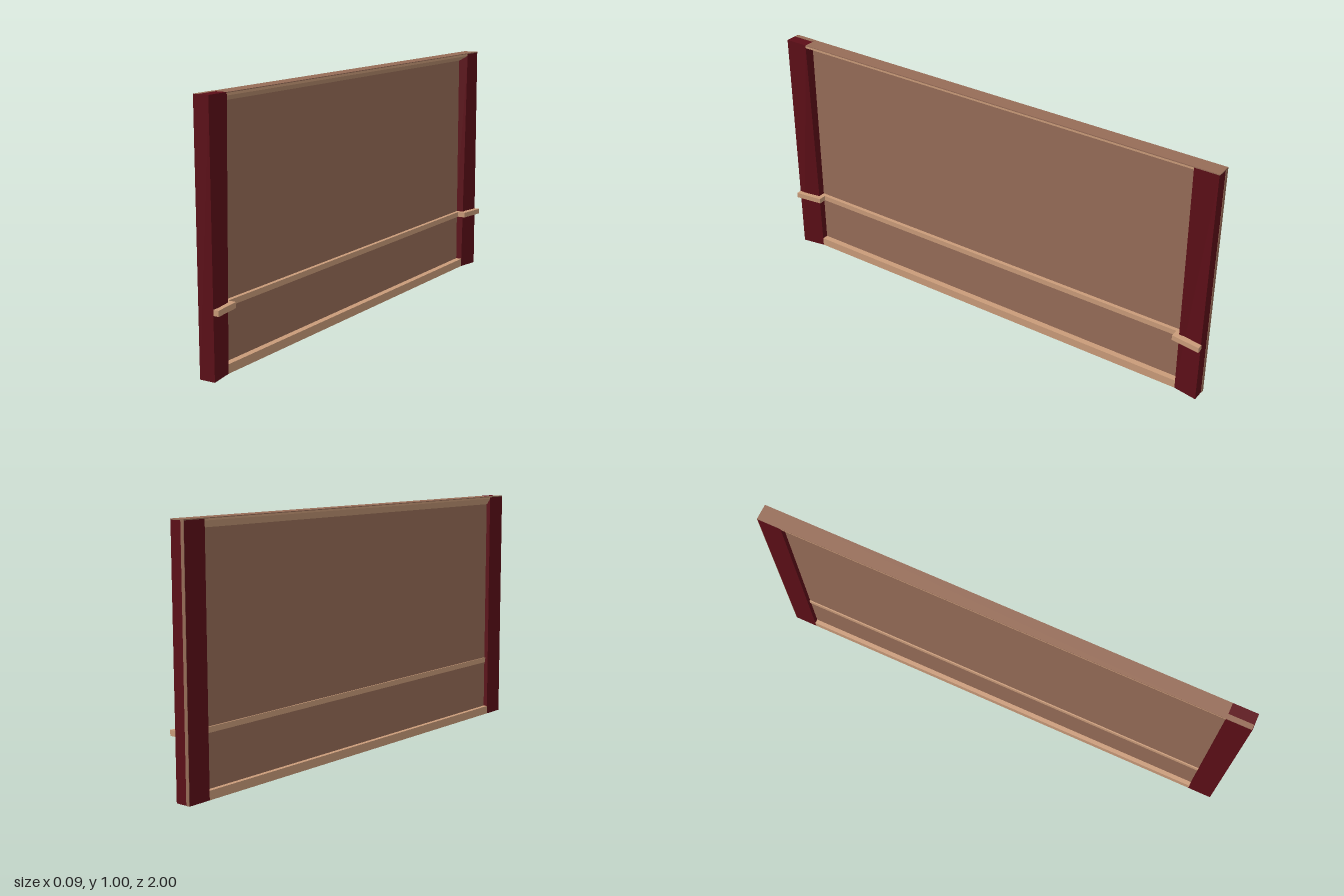
import * as THREE from 'three';

const mat = (color) => new THREE.MeshStandardMaterial({ color, flatShading: true });

export function createModel() {
  const group = new THREE.Group();
  const red = mat(0x5c0e17), brown = mat(0x966c57), tan = mat(0xc99b79);

  const add = (name, geometry, material) => {
    const mesh = new THREE.Mesh(geometry, material);
    mesh.name = name;
    group.add(mesh);
    return mesh;
  };
  // Box given by its lower and upper limits on each axis
  const box = (x0, x1, y0, y1, z0, z1) =>
    new THREE.BoxGeometry(x1 - x0, y1 - y0, z1 - z0)
      .translate((x0 + x1) / 2, (y0 + y1) / 2, (z0 + z1) / 2);
  const extrude = (points, depth) =>
    new THREE.ExtrudeGeometry(new THREE.Shape(points.map((p) => new THREE.Vector2(...p))),
      { depth, bevelEnabled: false });

  // Thin wall sheet between the frame parts
  add('wallPanel', box(-0.027, -0.023, 0.02, 0.98, -0.92, 0.92), brown);

  // End posts: the inner front corner leans back toward the foot
  const post = (name, z0, z1, top) => {
    const geometry = box(-0.045, 0.02, 0, top, z0, z1);
    const pos = geometry.attributes.position;
    for (let i = 0; i < pos.count; i++) {
      const inner = Math.abs(pos.getZ(i)) < 0.95;
      if (inner && pos.getX(i) > 0 && pos.getY(i) < 0.5) pos.setX(i, 0.003);
    }
    geometry.computeVertexNormals();
    add(name, geometry, red);
  };
  post('frontPost', 0.9, 1, 1);
  post('backPost', -0.998, -0.9, 0.996);
  add('backEdgeStrip', box(-0.045, -0.03, 0, 0.996, -1, -0.997), brown);

  // Top beam with sloping undersides, covered by a thin cap
  add('topBeam', extrude([
    [-0.045, 0.99], [-0.029, 0.965], [-0.021, 0.965],
    [0.02, 0.988], [0.02, 0.997], [-0.045, 0.997],
  ], 1.8).translate(0, 0, -0.9), tan);
  add('topCap', box(-0.045, 0.02, 0.996, 1, -1, 0.9), brown);
  add('topCapEnd', box(-0.0455, -0.025, 0.996, 1.0005, 0.9, 0.998), brown);

  // Sill along the floor
  add('sill', box(-0.045, 0.003, 0, 0.035, -0.9, 0.9), tan);

  // Waist rail: runs along the panel and steps out around both posts
  const half = [[0.043, 1], [0.027, 0.88], [-0.007, 0.88]];
  const inner = [[-0.032, 0.9], [0, 0.9], [0.018, 1]];
  const mirror = (points) => points.map(([x, z]) => [x, -z]).reverse();
  add('waistRail', extrude([...half, ...mirror(half), ...mirror(inner), ...inner], 0.022)
    .rotateX(Math.PI / 2).translate(0, 0.262, 0), tan);

  return group;
}
